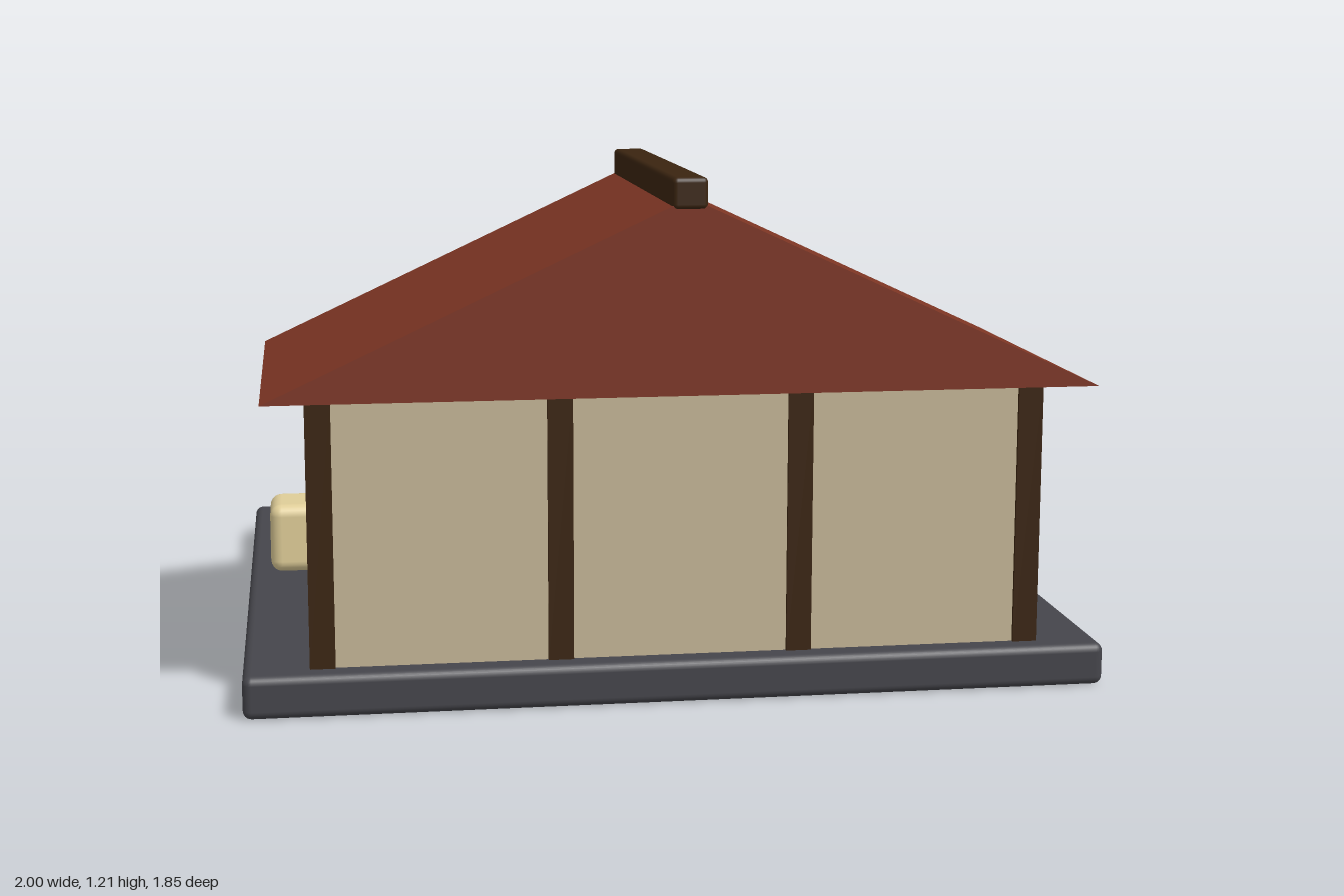
import * as THREE from 'three';
import { RoundedBoxGeometry } from 'three/addons/geometries/RoundedBoxGeometry.js';

const mat = (name, color) => {
  const m = new THREE.MeshStandardMaterial({ color });
  m.name = name;
  return m;
};

export function createModel() {
  const stone = mat('slate', 0x45454b);
  const wood = mat('darkWood', 0x3a2410);
  const plaster = mat('plaster', 0xc4b596);
  const tile = mat('roofRed', 0x7c3523);
  const straw = mat('straw', 0xdfcd98);
  const amber = mat('amber', 0xc07e2c);
  const white = mat('targetWhite', 0xdcdad4);
  const red = mat('targetRed', 0xc2483f);

  const model = new THREE.Group();
  model.name = 'archeryRange';

  const add = (parent, name, geometry, material, x, y, z) => {
    const mesh = new THREE.Mesh(geometry, material);
    mesh.name = name;
    mesh.position.set(x, y, z);
    parent.add(mesh);
    return mesh;
  };
  const box = (w, h, d) => new THREE.BoxGeometry(w, h, d);
  const rounded = (w, h, d, r) => new RoundedBoxGeometry(w, h, d, 3, r);
  const group = (name, x, y, z) => {
    const g = new THREE.Group();
    g.name = name;
    g.position.set(x, y, z);
    model.add(g);
    return g;
  };

  // Ground slab
  add(model, 'base', rounded(2, 0.1, 1.785, 0.02), stone, 0, 0.05, -0.03);

  // House: plaster core, dark side walls, posts on front and back
  const house = group('house', 0, 0, 0.438);
  add(house, 'plasterWalls', box(1.66, 0.63, 0.734), plaster, 0, 0.415, 0);
  for (const side of [-1, 1]) {
    add(house, 'sideWall', box(0.058, 0.63, 0.75), wood, side * 0.82, 0.415, 0);
    for (const face of [-1, 1]) {
      add(house, 'post', box(0.058, 0.63, 0.05), wood, side * 0.277, 0.415, face * 0.35);
    }
    add(house, 'window', box(0.18, 0.175, 0.02), amber, side * 0.545, 0.485, -0.373);
  }

  // Gabled roof and ridge beam
  const gable = new THREE.Shape();
  gable.moveTo(-0.945, 0);
  gable.lineTo(0.945, 0);
  gable.lineTo(0, 0.44);
  gable.closePath();
  const roof = new THREE.ExtrudeGeometry(gable, { depth: 0.963, bevelEnabled: false });
  add(model, 'roof', roof, tile, 0, 0.725, -0.044);
  add(model, 'ridgeBeam', rounded(0.08, 0.072, 0.971, 0.012), wood, 0, 1.174, 0.438);

  // Straw bales
  add(model, 'leftBale', rounded(0.315, 0.18, 0.185, 0.03), straw, 0.788, 0.19, -0.138);
  add(model, 'rightBale', rounded(0.315, 0.18, 0.185, 0.03), straw, -0.788, 0.19, -0.178);

  // Quiver with arrows
  const quiver = group('quiver', 0.497, 0, -0.142);
  add(quiver, 'quiverBody', new THREE.CylinderGeometry(0.052, 0.042, 0.217, 12), wood, 0, 0.2085, 0);
  for (const dx of [-0.012, 0.012]) {
    for (const dz of [-0.012, 0.012]) {
      add(quiver, 'arrow', new THREE.CylinderGeometry(0.005, 0.005, 0.25, 6), wood, dx, 0.325, dz);
    }
  }

  // Targets: stepped rings facing the back, on two slanted legs
  const rings = [
    [0.195, 0.04, white], [0.145, 0.008, red], [0.098, 0.008, white], [0.048, 0.008, red],
  ];
  for (const [x, z] of [[-0.627, -0.655], [0, -0.745], [0.627, -0.655]]) {
    const target = group('target', x, 0, z);
    let front = 0.02;
    for (const [radius, depth, material] of rings) {
      const disc = new THREE.CylinderGeometry(radius, radius, depth, 32).rotateX(Math.PI / 2);
      add(target, 'targetRing', disc, material, 0, 0.38, front - depth / 2);
      front -= depth;
    }
    for (const side of [-1, 1]) {
      const leg = add(target, 'targetLeg', new THREE.CylinderGeometry(0.016, 0.016, 0.39, 8), wood,
        side * 0.137, 0.28, 0.048);
      leg.rotation.x = 0.24;
    }
  }

  return model;
}
